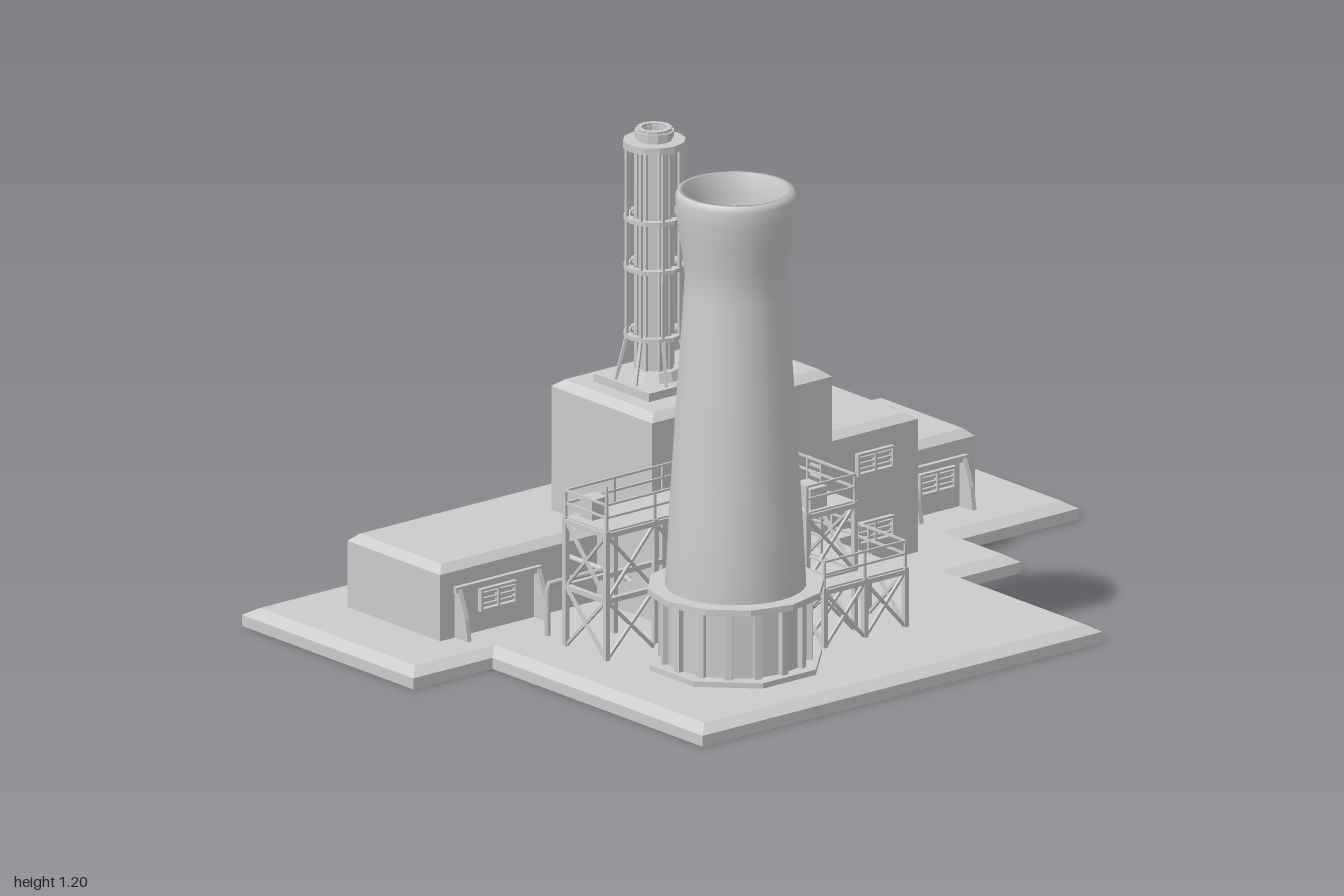
import * as THREE from 'three';

const flat = new THREE.MeshStandardMaterial({ color: 0xcccccc, flatShading: true, side: THREE.DoubleSide });
const smooth = new THREE.MeshStandardMaterial({ color: 0xcccccc, side: THREE.DoubleSide });
const V = (x, y, z) => new THREE.Vector3(x, y, z);

export function createModel() {
  const root = new THREE.Group();
  let part = root;
  const begin = (name) => { part = new THREE.Group(); part.name = name; root.add(part); };
  const add = (name, geo, mat = flat) => {
    const m = new THREE.Mesh(geo, mat);
    m.name = name;
    part.add(m);
    return m;
  };
  // box from its limits
  const box = (name, x0, x1, y0, y1, z0, z1) =>
    add(name, new THREE.BoxGeometry(x1 - x0, y1 - y0, z1 - z0)).position.set((x0 + x1) / 2, (y0 + y1) / 2, (z0 + z1) / 2);
  // square bar between two points
  const bar = (name, a, b, t = 0.008) => {
    const m = add(name, new THREE.BoxGeometry(t, t, a.distanceTo(b)));
    m.position.copy(a).lerp(b, 0.5);
    m.lookAt(b);
  };
  const pipe = (name, pts, r) => {
    const path = new THREE.CurvePath();
    for (let i = 1; i < pts.length; i++) path.add(new THREE.LineCurve3(pts[i - 1], pts[i]));
    add(name, new THREE.TubeGeometry(path, (pts.length - 1) * 8, r, 8), smooth);
  };

  // Open-bottomed block with a sloped top edge. Each outline point is [x, z, bottom]
  // where bottom is the foot of the wall that starts there (null = no wall).
  function shell(name, pts, y0, y1, y2, bevel, hole = []) {
    const n = pts.length, pos = [];
    const normal = (i) => {
      const a = pts[(i + n) % n], b = pts[(i + 1) % n];
      const l = Math.hypot(b[0] - a[0], b[1] - a[1]);
      return [-(b[1] - a[1]) / l, (b[0] - a[0]) / l];
    };
    const inner = pts.map((p, i) => {
      const u = normal(i - 1), v = normal(i), k = bevel / (1 + u[0] * v[0] + u[1] * v[1]);
      return new THREE.Vector2(p[0] + k * (u[0] + v[0]), p[1] + k * (u[1] + v[1]));
    });
    const quad = (a, b, c, d) => { for (const p of [a, b, c, a, c, d]) pos.push(...p); };
    for (let i = 0; i < n; i++) {
      const j = (i + 1) % n, a = pts[i], b = pts[j], foot = a[2] === undefined ? y0 : a[2];
      const A = [a[0], y1, a[1]], B = [b[0], y1, b[1]];
      if (foot !== null) quad([b[0], foot, b[1]], [a[0], foot, a[1]], A, B);
      quad(B, A, [inner[i].x, y2, inner[i].y], [inner[j].x, y2, inner[j].y]);
    }
    const holes = hole.length ? [hole.map((p) => new THREE.Vector2(p[0], p[1]))] : [];
    const all = [inner, ...holes].flat();
    for (const [i, j, k] of THREE.ShapeUtils.triangulateShape(inner, holes)) {
      const a = all[i], b = all[j], c = all[k];
      const up = (b.y - a.y) * (c.x - a.x) - (b.x - a.x) * (c.y - a.y) > 0;
      for (const p of up ? [a, b, c] : [a, c, b]) pos.push(p.x, y2, p.y);
    }
    const g = new THREE.BufferGeometry();
    g.setAttribute('position', new THREE.Float32BufferAttribute(pos, 3));
    g.computeVertexNormals();
    add(name, g);
  }

  // Ground slab, open under the buildings
  const G = 0.045;
  begin('groundSlab');
  shell('slab', [[-1, -0.69], [1, -0.69], [1, -0.05], [0.64, -0.05], [0.64, 0.17], [0.45, 0.17], [0.45, 0.69],
    [-0.76, 0.69], [-0.76, -0.07], [-1, -0.07]], 0, 0.027, G, 0.03,
  [[-0.81, -0.535], [0.81, -0.535], [0.81, -0.2], [0.47, -0.2], [0.47, 0], [-0.335, 0], [-0.335, -0.2], [-0.81, -0.2]]);

  // Buildings
  begin('buildings');
  shell('lowHall', [[-0.81, -0.535], [0.81, -0.535], [0.81, -0.2], [0.47, -0.2, null], [-0.335, -0.2], [-0.81, -0.2]],
    G, 0.207, 0.225, 0.02);
  shell('mainHall', [[-0.335, -0.365, 0.22], [0.21, -0.365, null], [0.21, 0], [-0.335, 0], [-0.335, -0.2, 0.22]]
    .map((p, i) => (i === 1 ? [0.21, -0.365, 0.37] : p)), G, 0.528, 0.545, 0.022);
  shell('sideHall', [[0.2, -0.365, 0.22], [0.47, -0.365, 0.22], [0.47, -0.2], [0.47, 0], [0.2, 0, null]],
    G, 0.37, 0.385, 0.022);

  // Louvred windows on walls facing +z (s = 1) or -z (s = -1)
  begin('windows');
  function louvre(x0, x1, y0, y1, z, s, panes = 2) {
    const slab = (a, b, c, d, t) => box('windowFrame', a, b, c, d, Math.min(z, z + s * t), Math.max(z, z + s * t));
    const f = 0.006, w = (x1 - x0 - f) / panes;
    slab(x0, x1, y0, y0 + f, 0.012);
    slab(x0, x1, y1 - f, y1, 0.012);
    for (let i = 0; i <= panes; i++) slab(x0 + i * w, x0 + i * w + f, y0, y1, 0.012);
    for (let i = 1; i < 4; i++) slab(x0, x1, y0 + (y1 - y0) * i / 4 - 0.003, y0 + (y1 - y0) * i / 4 + 0.003, 0.007);
  }
  louvre(0.28, 0.39, 0.27, 0.325, 0, 1);
  louvre(0.28, 0.39, 0.1, 0.155, 0, 1);
  louvre(-0.23, -0.12, 0.44, 0.48, 0, 1, 4);
  louvre(0.05, 0.16, 0.44, 0.48, -0.365, -1, 4);

  // Sloped buttresses in pairs, with a lintel and a window between
  begin('buttresses');
  const finShape = new THREE.Shape([[0, G], [0.047, G], [0.038, 0.1], [0.01, 0.17], [0, 0.17]].map((p) => new THREE.Vector2(...p)));
  const finGeo = new THREE.ExtrudeGeometry(finShape, { depth: 0.012, bevelEnabled: false }).translate(0, 0, -0.006);
  function bay(x0, x1, z, s) {
    for (const x of [x0, x1]) {
      const f = add('buttress', finGeo);
      f.position.set(x, 0, z);
      f.rotation.y = -s * Math.PI / 2;
    }
    box('lintel', x0 - 0.01, x1 + 0.01, 0.155, 0.17, z - 0.012, z + 0.012);
    louvre((x0 + x1) / 2 - 0.055, (x0 + x1) / 2 + 0.055, 0.095, 0.15, z, s);
  }
  for (const x of [-0.76, -0.44, 0.29, 0.61]) bay(x, x + 0.16, -0.535, -1);
  bay(0.61, 0.77, -0.2, 1);
  bay(-0.76, -0.52, -0.2, 1);

  // Entrance with canopy
  begin('entrance');
  box('door', 0.175, 0.245, G, 0.125, 0, 0.008);
  box('canopy', 0.16, 0.26, 0.135, 0.147, 0, 0.045);
  for (const x of [0.163, 0.257]) bar('canopyPost', V(x, G, 0.04), V(x, 0.14, 0.04), 0.008);

  // Cooling tower: hollow waisted shell on a ribbed drum
  begin('coolingTower');
  const shellProfile = [[0.158, G], [0.165, 0.23], [0.155, 0.42], [0.143, 0.62], [0.131, 0.8], [0.121, 0.95], [0.119, 0.99],
    [0.124, 1.04], [0.134, 1.1], [0.14, 1.15], [0.141, 1.185], [0.135, 1.2], [0.124, 1.2], [0.118, 1.15], [0.1, 1.03],
    [0.092, 0.97], [0.105, 0.8], [0.14, 0.3], [0.14, 0.06], [0, 0.06]];
  add('towerShell', new THREE.LatheGeometry(shellProfile.map((p) => new THREE.Vector2(...p)), 32), smooth);
  const ring = (name, r0, r1, y0, y1, n) => add(name, new THREE.LatheGeometry(
    [[r0, y0], [r1, y0], [r1, y1], [r0, y1], [r0, y0]].map((p) => new THREE.Vector2(...p)), n));
  ring('plinth', 0.15, 0.21, G, 0.058, 8).rotation.y = Math.PI / 8;
  ring('walkway', 0.15, 0.208, 0.222, 0.237, 12);
  ring('drum', 0.15, 0.168, G, 0.225, 16);
  for (let i = 0; i < 16; i++) {
    const a = i * Math.PI / 8, c = add('drumRib', new THREE.BoxGeometry(0.018, 0.175, 0.02));
    c.position.set(Math.sin(a) * 0.17, 0.137, Math.cos(a) * 0.17);
    c.rotation.y = a;
  }
  part.position.set(-0.382, 0, 0.358);

  // Chimney: flue inside a ringed frame with splayed legs
  begin('chimney');
  box('chimneyFooting', -0.1, 0.1, 0.54, 0.565, -0.1, 0.1);
  add('flueCollar', new THREE.CylinderGeometry(0.06, 0.07, 0.025, 12)).position.y = 0.575;
  ring('flue', 0.03, 0.042, 0.565, 1.172, 12);
  ring('flueTop', 0.028, 0.047, 1.15, 1.165, 12);
  add('flueCap', new THREE.CylinderGeometry(0.03, 0.03, 0.004, 12)).position.y = 1.14;
  ring('topRing', 0.042, 0.074, 1.125, 1.142, 12);
  for (const y of [0.67, 0.835, 0.955]) ring('frameRing', 0.058, 0.073, y - 0.005, y + 0.005, 12);
  for (let i = 0; i < 8; i++) {
    const a = (i + 0.5) * Math.PI / 4, at = (r, y) => V(Math.sin(a) * r, y, Math.cos(a) * r);
    bar('framePost', at(0.067, 0.67), at(0.067, 1.13), 0.007);
    bar('frameLeg', at(0.095, 0.56), at(0.067, 0.67), 0.007);
    bar('flueRib', at(0.041, 0.565), at(0.041, 1.14), 0.011);
    for (const y of [0.67, 0.835, 0.955]) bar('frameSpoke', at(0.04, y), at(0.067, y), 0.006);
  }
  part.position.set(-0.172, 0, -0.187);

  // Steel platforms with braced legs and railings
  begin('platforms');
  function platform(x0, x1, z0, z1, y, low) {
    box('platformFloor', x0, x1, y - 0.012, y, z0, z1);
    const corners = [[x0, z0], [x1, z0], [x1, z1], [x0, z1]];
    corners.forEach(([ax, az], k) => {
      const [bx, bz] = corners[(k + 1) % 4];
      const n = Math.max(1, Math.round(Math.hypot(bx - ax, bz - az) / 0.15));
      const at = (i, h) => V(ax + (bx - ax) * i / n, h, az + (bz - az) * i / n);
      for (const h of [y + 0.033, y + 0.064]) bar('rail', at(0, h), at(n, h), 0.005);
      const levels = low ? [G, y - 0.01] : [G, 0.19, y - 0.01];
      for (let i = 0; i < n; i++) {
        bar('leg', at(i, G), at(i, y), 0.012);
        bar('railPost', at(i, y), at(i, y + 0.064), 0.006);
        for (let l = 1; l < levels.length; l++) {
          bar('beam', at(i, levels[l]), at(i + 1, levels[l]), 0.012);
          if (k === 0) continue;
          bar('brace', at(i, levels[l - 1]), at(i + 1, levels[l]), 0.007);
          bar('brace', at(i + 1, levels[l - 1]), at(i, levels[l]), 0.007);
        }
      }
    });
  }
  platform(-0.605, -0.165, 0.01, 0.157, 0.36, false);
  platform(-0.16, -0.015, 0.01, 0.35, 0.36, false);
  platform(-0.155, 0.09, 0.01, 0.408, 0.19, true);
  box('controlCabinet', -0.58, -0.53, 0.36, 0.41, 0.03, 0.075);
  box('controlCabinet', -0.15, -0.1, 0.36, 0.42, 0.16, 0.21);
  box('controlCabinet', -0.14, -0.09, 0.36, 0.41, 0.27, 0.34);
  box('pump', -0.05, 0.03, G, 0.11, 0.04, 0.09);
  bar('mast', V(-0.605, 0.36, 0.157), V(-0.605, 0.47, 0.157), 0.005);
  for (const z of [0.07, 0.19]) {
    for (const d of [-0.022, 0.022]) bar('ladderRail', V(0, 0.19, z + d), V(0, 0.42, z + d), 0.006);
    for (let y = 0.21; y < 0.42; y += 0.024) bar('ladderRung', V(0, y, z - 0.022), V(0, y, z + 0.022), 0.006);
  }

  // Pipes and equipment
  begin('equipment');
  for (const x of [-0.24, -0.2]) pipe('frontPipe', [V(x, G, 0.012), V(x, 0.56, 0.012)], 0.011);
  box('wallUnit', -0.105, -0.035, 0.42, 0.49, 0, 0.025);
  for (const x of [-0.28, -0.25, -0.22])
    pipe('backPipe', [V(x, 0.375, -0.36), V(x, 0.375, -0.388), V(x, 0.36, -0.4), V(x, 0.22, -0.4)], 0.012);
  box('backUnit', -0.18, -0.08, 0.225, 0.3, -0.42, -0.36);
  box('roofHatch', 0.01, 0.075, 0.54, 0.556, -0.15, -0.08);
  pipe('hatchPipe', [V(-0.08, 0.553, -0.11), V(0.02, 0.553, -0.11)], 0.005);
  pipe('yardPipe', [V(-0.42, 0.17, -0.2), V(-0.42, 0.17, 0.02)], 0.007);
  pipe('yardPipe', [V(-0.42, 0.17, -0.075), V(-0.59, 0.17, -0.075), V(-0.59, G, -0.075)], 0.007);
  box('coolerBase', 0.645, 0.745, 0.22, 0.233, -0.485, -0.38);
  for (const x of [0.667, 0.695, 0.723]) {
    const c = add('coolerCoil', new THREE.CapsuleGeometry(0.012, 0.06, 4, 10), smooth);
    c.position.set(x, 0.235, -0.432);
    c.rotation.x = Math.PI / 2;
  }
  pipe('coolerPipe', [V(0.65, 0.233, -0.435), V(0.435, 0.233, -0.435), V(0.435, 0.233, -0.36)], 0.008);

  return root;
}
